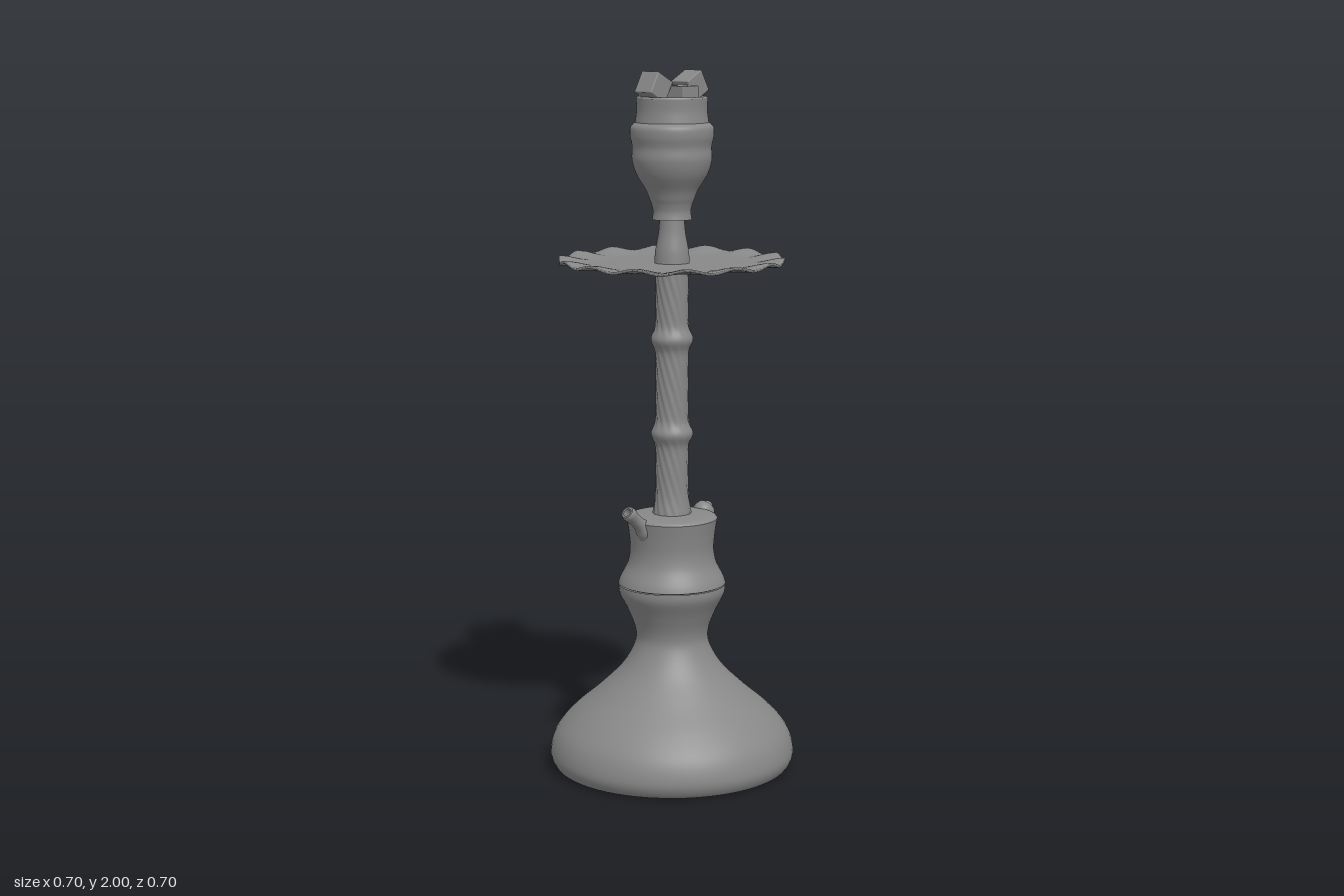
import * as THREE from 'three';
import { RoundedBoxGeometry } from 'three/addons/geometries/RoundedBoxGeometry.js';

const material = new THREE.MeshStandardMaterial({ color: 0x888888, side: THREE.DoubleSide });
const v2 = ([x, y]) => new THREE.Vector2(x, y);

// Smooth turned surface through a few [radius, height] points, listed upwards on the outside.
function turned(points, steps, sides = 64) {
  const curve = new THREE.SplineCurve(points.map(v2));
  const profile = curve.getPoints(steps).map((p) => p.set(Math.max(p.x, 0), p.y));
  return new THREE.LatheGeometry(profile, sides);
}

function mesh(name, geometry) {
  const m = new THREE.Mesh(geometry, material);
  m.name = name;
  return m;
}

// Each section of a turned part is its own surface, so the edges between sections stay sharp.
function turnedPart(name, sections) {
  const group = new THREE.Group();
  group.name = name;
  sections.forEach((points, i) => {
    const steps = points.length === 2 ? 1 : points.length * 6;
    group.add(mesh(`${name}Section${i + 1}`, turned(points, steps)));
  });
  return group;
}

// Move every vertex by a rule given in radius, angle and height.
function reshape(geometry, rule) {
  const pos = geometry.attributes.position;
  for (let i = 0; i < pos.count; i++) {
    const x = pos.getX(i), z = pos.getZ(i);
    const old = Math.hypot(x, z);
    const [r, y] = rule(old, Math.atan2(x, z), pos.getY(i));
    const k = r / (old || 1);
    pos.setXYZ(i, x * k, y, z * k);
  }
  geometry.computeVertexNormals();
  return geometry;
}

// Twisted rope-like column with two bulging joints and a flared foot.
function makeStem() {
  const geometry = new THREE.CylinderGeometry(0.046, 0.046, 0.75, 96, 130, true);
  geometry.translate(0, 1.095, 0);
  reshape(geometry, (r, a, y) => {
    const bump = (c, w) => Math.exp(-(((y - c) / w) ** 2));
    const joint = bump(1.25, 0.024) + bump(0.98, 0.024);
    const flute = 0.0012 * Math.cos(14 * a + y * 90) * (1 - Math.min(joint, 1));
    return [r + flute + 0.014 * joint + 0.01 * bump(0.73, 0.05), y];
  });
  return mesh('stem', geometry);
}

// Thin plate whose rim rises and ripples.
function makeTray() {
  const profile = [];
  for (let i = 0; i <= 16; i++) profile.push([0.317 * i / 16, 1.458]);
  for (let i = 16; i >= 0; i--) profile.push([0.317 * i / 16, 1.466]);
  const geometry = new THREE.LatheGeometry(profile.map(v2), 140);
  return mesh('tray', reshape(geometry, (r, a, y) => {
    const t = THREE.MathUtils.smoothstep(r, 0.215, 0.317);
    const wave = Math.cos(14 * a);
    return [r + 0.001 * t * wave, y + t * (0.011 + 0.006 * wave)];
  }));
}

// Turned fitting on the collar, tilted away from the stem.
function makePort(name, z, y, tilt, sections) {
  const port = turnedPart(name, sections);
  port.position.set(0, y, z);
  port.rotation.x = tilt;
  return port;
}

export function createModel() {
  const model = new THREE.Group();
  model.name = 'waterPipe';

  // Bell-shaped vase with a hollowed underside
  model.add(turnedPart('vase', [
    [[0, 0.05], [0.15, 0.04], [0.26, 0.015], [0.315, 0.004]],
    [[0.315, 0.004], [0.338, 0.012], [0.352, 0.05], [0.335, 0.11], [0.285, 0.17], [0.21, 0.235],
      [0.145, 0.3], [0.108, 0.365], [0.105, 0.41], [0.125, 0.465], [0.15, 0.515], [0.153, 0.543]],
  ]));

  // Collar on the vase neck
  model.add(turnedPart('collar', [
    [[0.148, 0.543], [0.154, 0.546]],
    [[0.154, 0.546], [0.147, 0.565], [0.127, 0.605], [0.12, 0.645], [0.123, 0.69], [0.13, 0.735]],
    [[0.13, 0.735], [0.122, 0.742], [0.1, 0.746], [0.04, 0.75]],
  ]));

  model.add(makeStem(), makeTray());

  // Tapered neck above the tray
  model.add(turnedPart('neck', [
    [[0.05, 1.46], [0.047, 1.5], [0.038, 1.55], [0.034, 1.6]],
  ]));

  // Bowl with an inset dish
  model.add(turnedPart('bowl', [
    [[0.03, 1.588], [0.056, 1.588]],
    [[0.056, 1.588], [0.053, 1.61], [0.057, 1.63], [0.063, 1.645], [0.074, 1.672], [0.1, 1.715],
      [0.112, 1.755], [0.111, 1.79], [0.117, 1.82], [0.116, 1.845], [0.103, 1.858]],
  ]));
  model.add(turnedPart('bowlRim', [
    [[0.103, 1.858], [0.099, 1.89], [0.1, 1.925]],
    [[0.1, 1.925], [0.096, 1.93], [0.089, 1.925]],
    [[0.089, 1.925], [0.082, 1.905], [0.06, 1.895], [0, 1.893]],
  ]));

  // Hose port at the front, release valve at the back
  model.add(makePort('hosePort', 0.105, 0.712, 0.86, [
    [[0.036, -0.02], [0.028, 0.01], [0.02, 0.03], [0.018, 0.06], [0.021, 0.09], [0.018, 0.1]],
    [[0.018, 0.1], [0.012, 0.1]],
    [[0.012, 0.1], [0.012, 0.06]],
    [[0.012, 0.06], [0, 0.06]],
  ]));
  model.add(makePort('releaseValve', -0.108, 0.712, -0.86, [
    [[0.024, -0.02], [0.018, 0.012]],
    [[0.018, 0.012], [0.029, 0.02], [0.031, 0.034], [0.026, 0.05]],
    [[0.026, 0.05], [0.014, 0.054]],
    [[0.014, 0.054], [0.012, 0.062], [0, 0.066]],
  ]));

  // Four coals: two flat in the dish, two leaning on the rim
  const cube = new RoundedBoxGeometry(0.065, 0.065, 0.065, 2, 0.003);
  for (const side of [-1, 1]) {
    const flat = mesh('flatCoal', cube);
    flat.position.set(side * 0.04, 1.927, 0);
    const leaning = mesh('leaningCoal', cube);
    leaning.position.set(0, 1.957, side * 0.073);
    leaning.rotation.x = -side * 0.5;
    model.add(flat, leaning);
  }
  return model;
}
